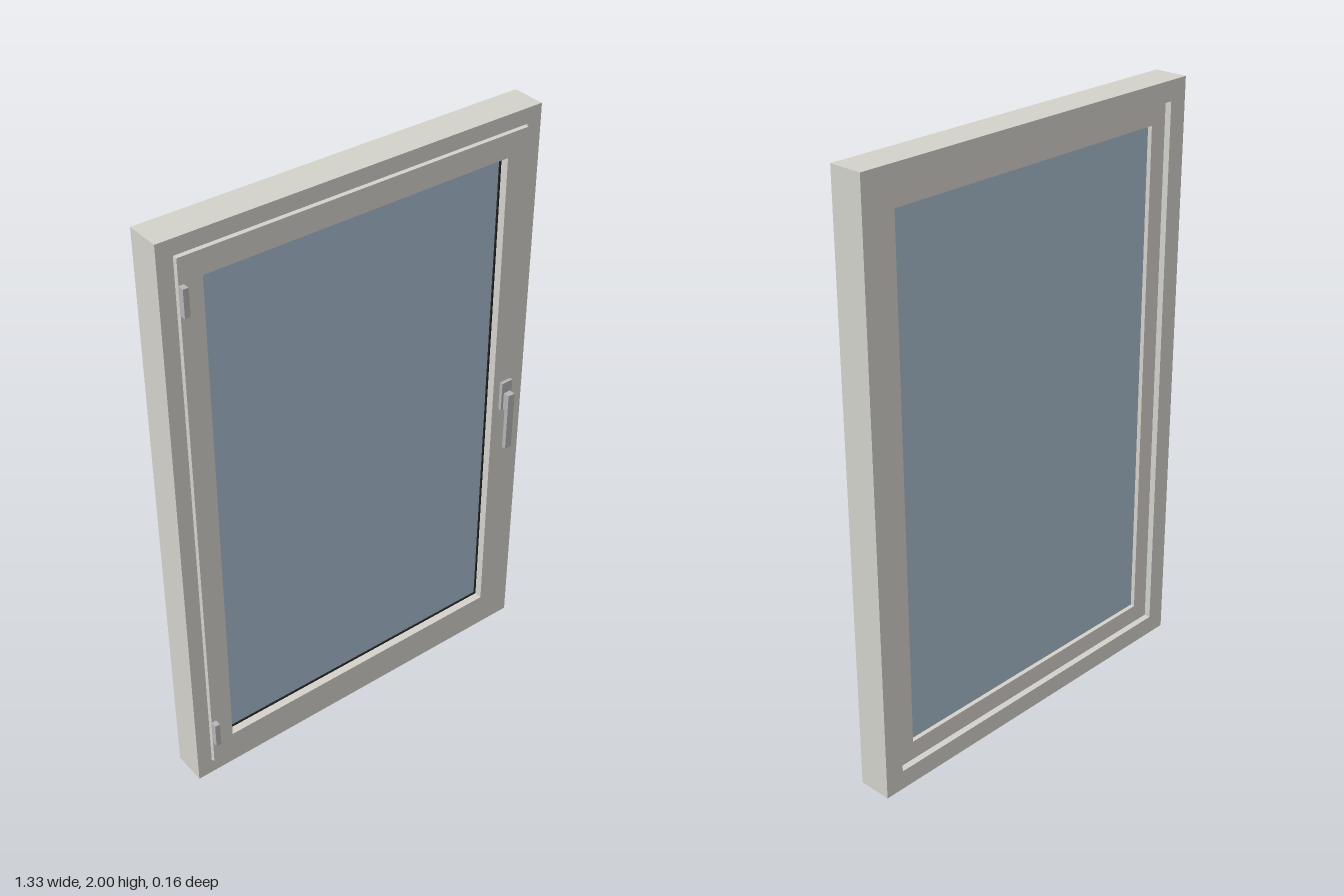
import * as THREE from 'three';

const material = (color) => new THREE.MeshStandardMaterial({ color });

// Rectangular path centred on (0, 1)
function rect(path, hw, hh) {
  path.moveTo(-hw, 1 - hh);
  path.lineTo(hw, 1 - hh);
  path.lineTo(hw, 1 + hh);
  path.lineTo(-hw, 1 + hh);
  path.closePath();
  return path;
}

// Rectangular ring: outer and inner half sizes, from z0 to z1
function ring(name, outer, inner, z0, z1, mat) {
  const shape = rect(new THREE.Shape(), ...outer);
  shape.holes.push(rect(new THREE.Path(), ...inner));
  const geo = new THREE.ExtrudeGeometry(shape, { depth: z1 - z0, bevelEnabled: false });
  geo.translate(0, 0, z0);
  const mesh = new THREE.Mesh(geo, mat);
  mesh.name = name;
  return mesh;
}

// Box given by its limits on each axis
function box(name, [x0, x1], [y0, y1], [z0, z1], mat) {
  const mesh = new THREE.Mesh(new THREE.BoxGeometry(x1 - x0, y1 - y0, z1 - z0), mat);
  mesh.position.set((x0 + x1) / 2, (y0 + y1) / 2, (z0 + z1) / 2);
  mesh.name = name;
  return mesh;
}

function group(name, ...parts) {
  const g = new THREE.Group();
  g.name = name;
  g.add(...parts);
  return g;
}

export function createModel() {
  const frameMat = material(0xd2d1ca);
  const sashMat = material(0xd4d0ca);
  const metal = material(0xb4b4b6);
  const rubber = material(0x222222);
  const glassMat = material(0xa6bacb);

  // Fixed frame, with a rebate that the sash closes into
  const frame = group('frame',
    ring('frameFront', [0.667, 1], [0.615, 0.949], -0.015, 0.035, frameMat),
    ring('frameBack', [0.667, 1], [0.6, 0.934], -0.08, -0.015, frameMat));

  // Opening sash, stepped to match the rebate and proud of the frame
  const sash = group('sash',
    ring('sashFront', [0.611, 0.945], [0.535, 0.867], -0.012, 0.045, sashMat),
    ring('sashBack', [0.598, 0.932], [0.535, 0.867], -0.06, -0.012, sashMat));

  // Glazing unit and its seals
  const glazing = group('glazing',
    box('glass', [-0.535, 0.535], [0.133, 1.867], [-0.045, 0.013], glassMat),
    ring('glassSeal', [0.535, 0.867], [0.53, 0.862], 0.013, 0.018, rubber));
  const seal = ring('sashSeal', [0.615, 0.949], [0.611, 0.945], -0.014, 0.025, rubber);

  // Handle: plate, neck and hanging lever
  const handle = group('handle',
    box('handlePlate', [0.562, 0.605], [0.95, 1.055], [0.045, 0.057], metal),
    box('handleNeck', [0.571, 0.597], [0.95, 1.015], [0.057, 0.065], metal),
    box('handleLever', [0.571, 0.597], [0.802, 1.015], [0.065, 0.08], metal));

  // Two hinges on the side opposite the handle
  const hinges = group('hinges', ...[0.19, 1.817].map((y) =>
    box('hinge', [-0.612, -0.594], [y - 0.045, y + 0.045], [0.045, 0.067], metal)));

  return group('window', frame, sash, glazing, seal, handle, hinges);
}
